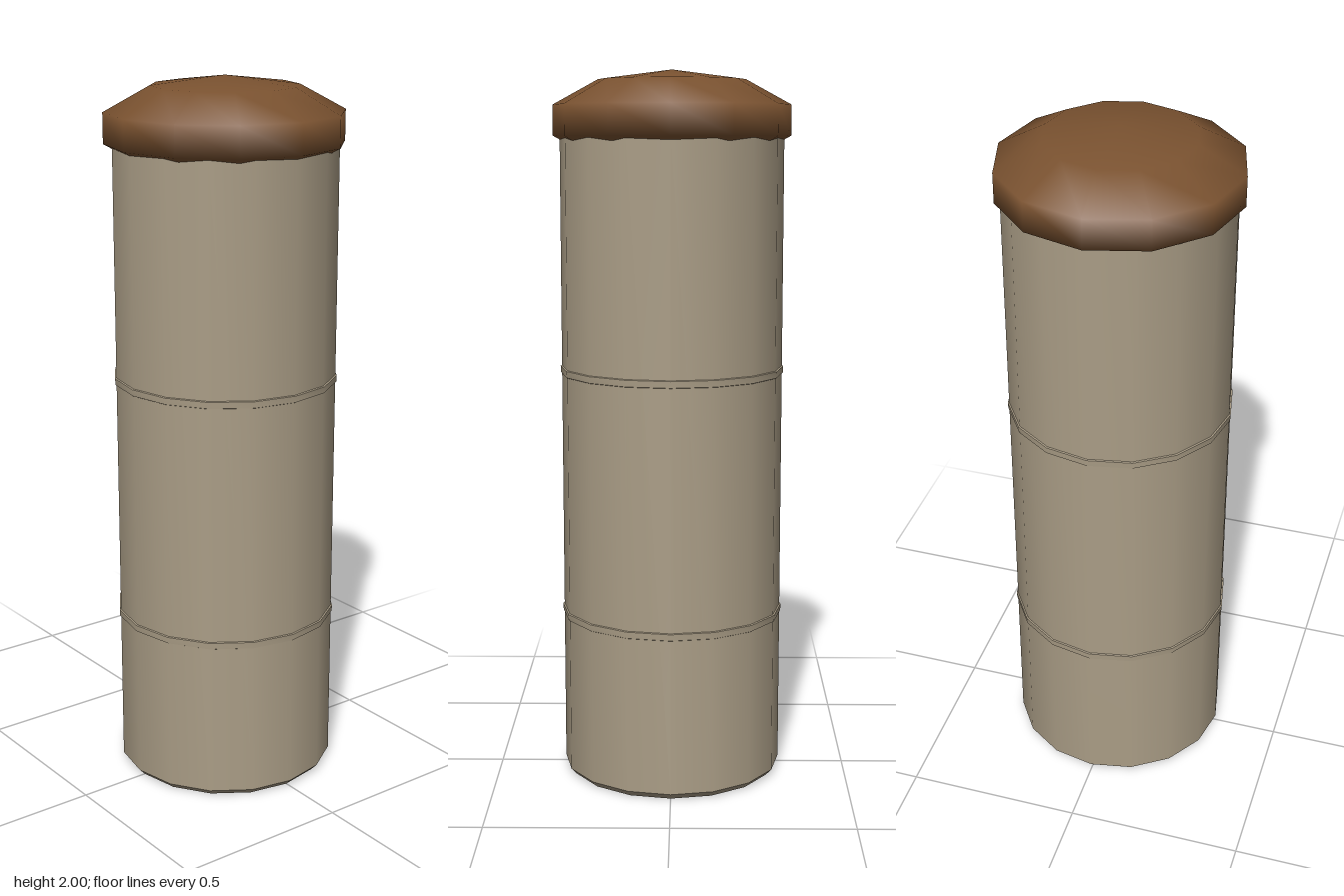
import * as THREE from 'three';
import { toCreasedNormals } from 'three/addons/utils/BufferGeometryUtils.js';

const SIDES = 16;

// Turned solid from [radius, height] points, listed from bottom to top
function turned(points, crease = 0.6) {
  const profile = points.map(([r, y]) => new THREE.Vector2(r, y));
  // start at a quarter turn so a corner sits on each axis
  const geometry = new THREE.LatheGeometry(profile, SIDES, Math.PI / 2);
  return toCreasedNormals(geometry, crease);
}

export function createModel() {
  const group = new THREE.Group();
  const stone = new THREE.MeshStandardMaterial({ color: 0xaa9d86 });
  stone.name = 'weathered tan';
  const brown = new THREE.MeshStandardMaterial({ color: 0x7a5230 });
  brown.name = 'cap brown';

  const add = (name, geometry, material) => {
    const mesh = new THREE.Mesh(geometry, material);
    mesh.name = name;
    group.add(mesh);
    return mesh;
  };

  // Upright post with a small chamfer at the foot
  add('post', turned([
    [0, 0], [0.295, 0], [0.312, 0.018], [0.312, 1.84], [0, 1.84],
  ]), stone);

  // Two slim bands around the post
  [['lowerBand', 0.47], ['upperBand', 1.167]].forEach(([name, y]) => {
    add(name, turned([
      [0.309, y - 0.012], [0.315, y - 0.009], [0.316, y + 0.009], [0.309, y + 0.012],
    ]), stone);
  });

  // Flattened, faceted-outline dome sunk over the top of the post
  const cap = add('cap', new THREE.SphereGeometry(0.348, 12, 5), brown);
  cap.scale.y = 0.1375 / 0.348;
  cap.position.y = 1.8625;

  return group;
}
